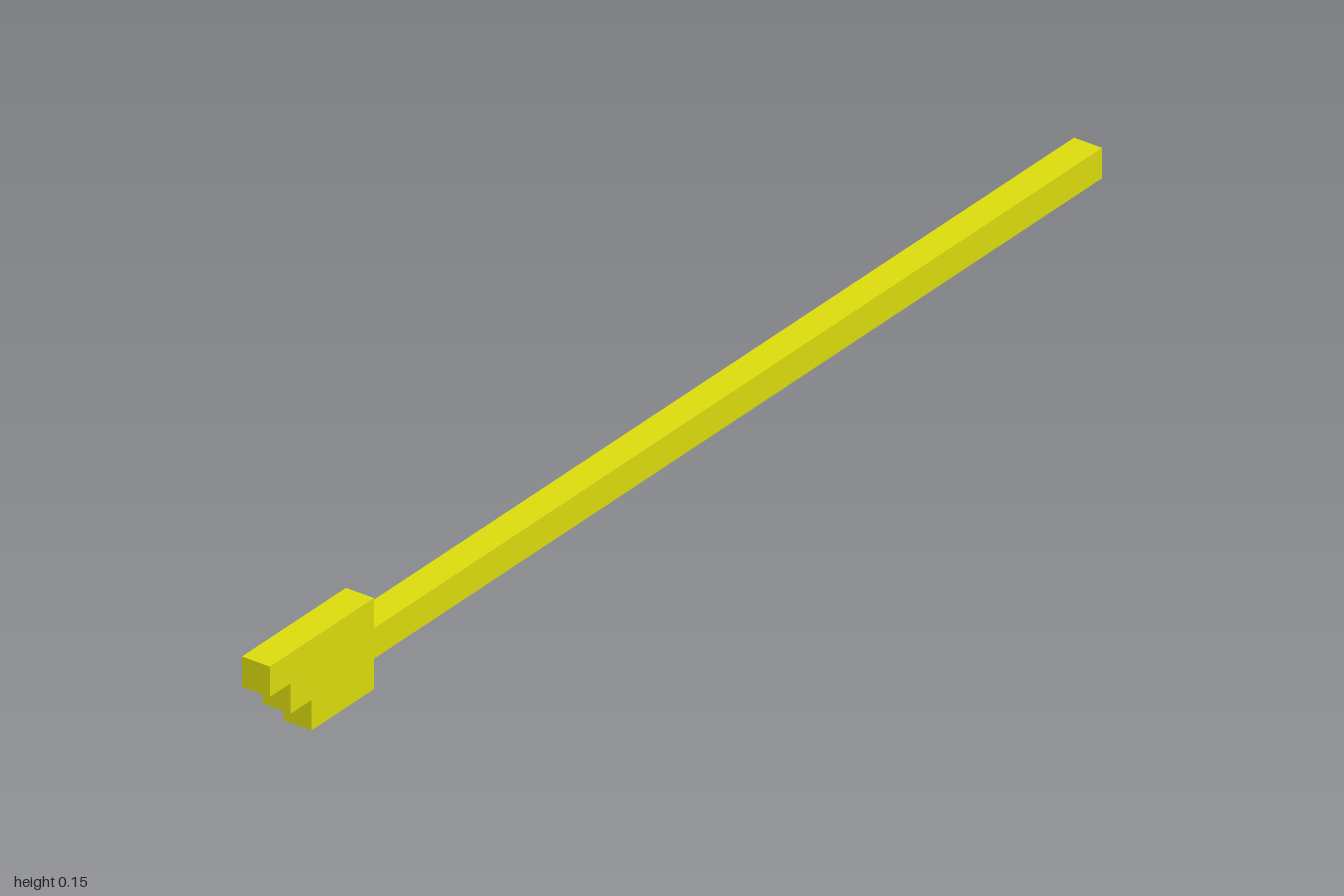
import * as THREE from 'three';

const WIDTH = 0.05;

// Extrudes a side profile of [z, y] points across x, centred on x = 0
function profileMesh(name, points, material) {
  const shape = new THREE.Shape(points.map(([z, y]) => new THREE.Vector2(z, y)));
  const geometry = new THREE.ExtrudeGeometry(shape, { depth: WIDTH, bevelEnabled: false });
  geometry.translate(0, 0, -WIDTH / 2).rotateY(-Math.PI / 2);
  const mesh = new THREE.Mesh(geometry, material);
  mesh.name = name;
  return mesh;
}

export function createModel() {
  const group = new THREE.Group();
  group.name = 'steppedHeadRod';
  const yellow = new THREE.MeshStandardMaterial({ color: 0xdddd0d, flatShading: true });

  // Head: flat block whose front edge steps forward towards the top
  group.add(profileMesh('head', [
    [0.75, 0], [0.90, 0], [0.90, 0.05], [0.95, 0.05],
    [0.95, 0.10], [1, 0.10], [1, 0.15], [0.75, 0.15],
  ], yellow));

  // Shaft: long square bar running back from the middle of the head
  group.add(profileMesh('shaft', [
    [-1, 0.05], [0.75, 0.05], [0.75, 0.10], [-1, 0.10],
  ], yellow));

  return group;
}
